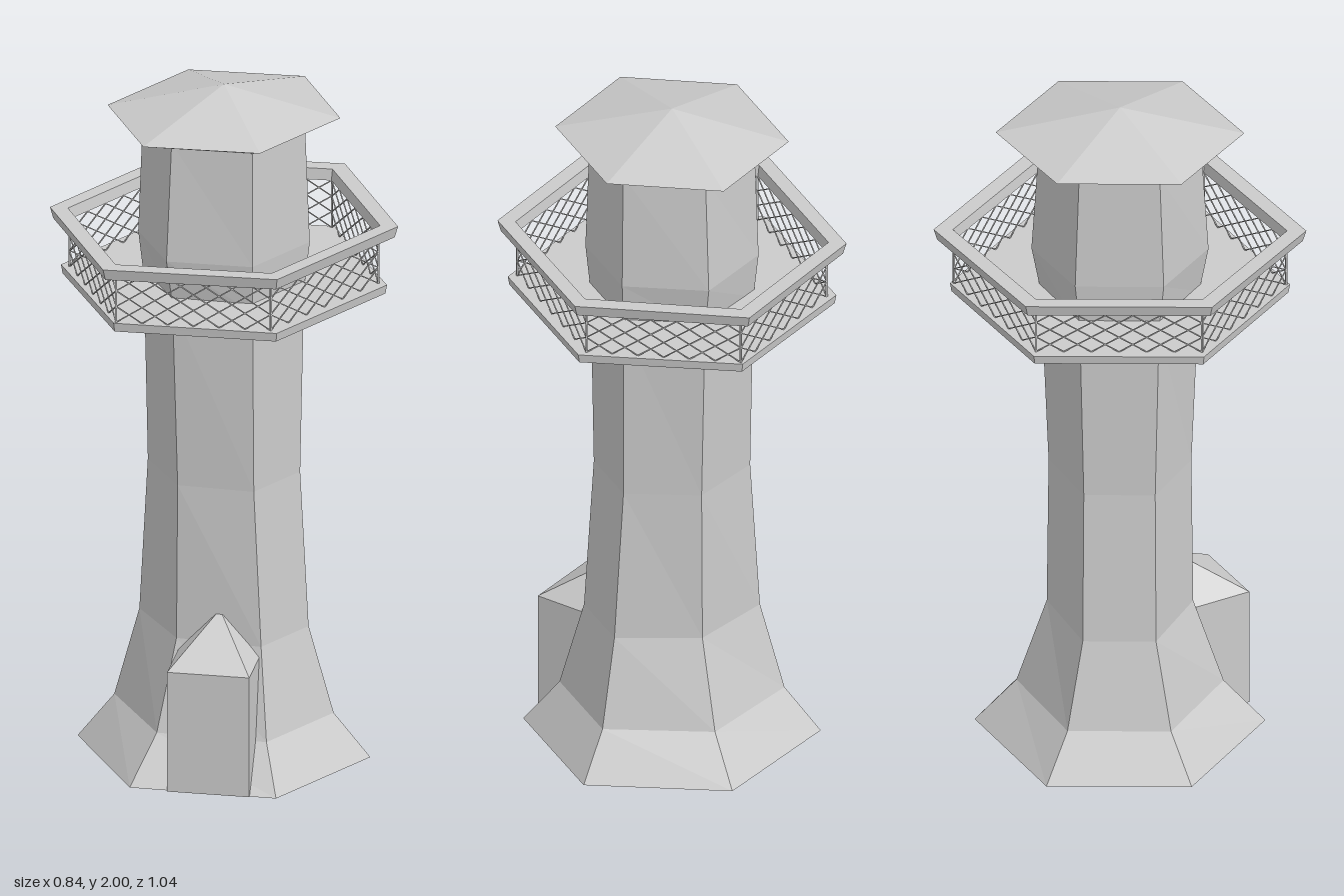
import * as THREE from 'three';

const grey = new THREE.MeshStandardMaterial({ color: 0xcccccc, flatShading: true });

function addMesh(parent, name, geometry) {
  const mesh = new THREE.Mesh(geometry, grey);
  mesh.name = name;
  parent.add(mesh);
  return mesh;
}

// Six-sided loft with corners on the z axis; each ring is [y, half width, half depth]
function hexLoft(rings) {
  const geo = new THREE.LatheGeometry(rings.map(([y]) => new THREE.Vector2(1, y)), 6);
  const pos = geo.attributes.position;
  for (let i = 0; i < pos.count; i++) {
    const [, hx, hz] = rings[i % rings.length];
    pos.setX(i, (pos.getX(i) / Math.cos(Math.PI / 6)) * hx);
    pos.setZ(i, pos.getZ(i) * hz);
  }
  const flat = geo.toNonIndexed();
  flat.computeVertexNormals();
  return flat;
}

// Lattice panel standing between two ground points
function fencePanel(a, b, bottom, height) {
  const panel = new THREE.Group();
  panel.name = 'fencePanel';
  const length = a.distanceTo(b), rows = 3, columns = 6;
  const pitch = length / columns;
  const slope = height / (rows * pitch);
  for (const mirror of [false, true]) {
    for (let k = 1 - rows; k < columns; k++) {
      // clip each diagonal wire to the panel
      const u0 = Math.max(0, k * pitch), u1 = Math.min(length, (k + rows) * pitch);
      const v0 = (u0 - k * pitch) * slope, v1 = (u1 - k * pitch) * slope;
      const wire = addMesh(panel, 'latticeWire',
        new THREE.BoxGeometry(Math.hypot(u1 - u0, v1 - v0), 0.003, 0.003));
      const mid = (u0 + u1) / 2;
      wire.position.set(mirror ? length - mid : mid, (v0 + v1) / 2, 0);
      wire.rotation.z = Math.atan(slope) * (mirror ? -1 : 1);
    }
  }
  const post = addMesh(panel, 'cornerPost', new THREE.BoxGeometry(0.005, height, 0.005));
  post.position.y = height / 2;
  panel.position.set(a.x, bottom, a.y);
  panel.rotation.y = -Math.atan2(b.y - a.y, b.x - a.x);
  return panel;
}

export function createModel() {
  const model = new THREE.Group();
  model.name = 'lighthouse';

  // Tower with flared foot and swelling lantern room
  addMesh(model, 'tower', hexLoft([
    [0, 0, 0], [0, 0.365, 0.407], [0.13, 0.28, 0.29], [0.39, 0.224, 0.205],
    [0.85, 0.195, 0.2], [1.4, 0.2, 0.222], [1.54, 0.21, 0.248],
    [1.89, 0.202, 0.226], [1.89, 0, 0],
  ]));

  // Roof with sloping soffit
  addMesh(model, 'roof', hexLoft([
    [1.88, 0, 0], [1.88, 0.205, 0.24], [1.917, 0.28, 0.348], [2, 0, 0],
  ]));

  // Balcony: floor, lattice fence and handrail
  const balcony = new THREE.Group();
  balcony.name = 'balcony';
  model.add(balcony);
  addMesh(balcony, 'floor', hexLoft([
    [1.398, 0, 0], [1.398, 0.393, 0.472], [1.424, 0.397, 0.476], [1.424, 0, 0],
  ]));
  addMesh(balcony, 'handrail', hexLoft([
    [1.566, 0.37, 0.463], [1.566, 0.41, 0.512], [1.599, 0.418, 0.522],
    [1.599, 0.375, 0.468], [1.566, 0.37, 0.463],
  ]));
  const corners = [[0, 0.465], [0.37, 0.2325], [0.37, -0.2325],
    [0, -0.465], [-0.37, -0.2325], [-0.37, 0.2325]].map(([x, z]) => new THREE.Vector2(x, z));
  corners.forEach((corner, i) =>
    balcony.add(fencePanel(corner, corners[(i + 1) % 6], 1.424, 0.142)));

  // Entrance hut set into the front left face
  const hut = new THREE.Group();
  hut.name = 'entranceHut';
  hut.position.set(0.2, 0, 0.303);
  hut.rotation.y = Math.PI / 6;
  model.add(hut);
  const depth = 0.3;
  addMesh(hut, 'hutWalls', new THREE.BoxGeometry(0.234, 0.36, depth))
    .position.set(0, 0.18, -depth / 2);

  // Hut roof: a box whose top is pinched to a ridge and leans back into the tower
  const roof = new THREE.BoxGeometry(0.234, 0.115, depth);
  roof.translate(0, 0.4175, -depth / 2);
  const pos = roof.attributes.position;
  for (let i = 0; i < pos.count; i++) {
    if (pos.getY(i) < 0.4) continue;
    pos.setX(i, Math.sign(pos.getX(i)) * 0.01);
    if (pos.getZ(i) > -0.1) pos.setZ(i, -0.168);
  }
  roof.computeVertexNormals();
  addMesh(hut, 'hutRoof', roof);

  return model;
}
